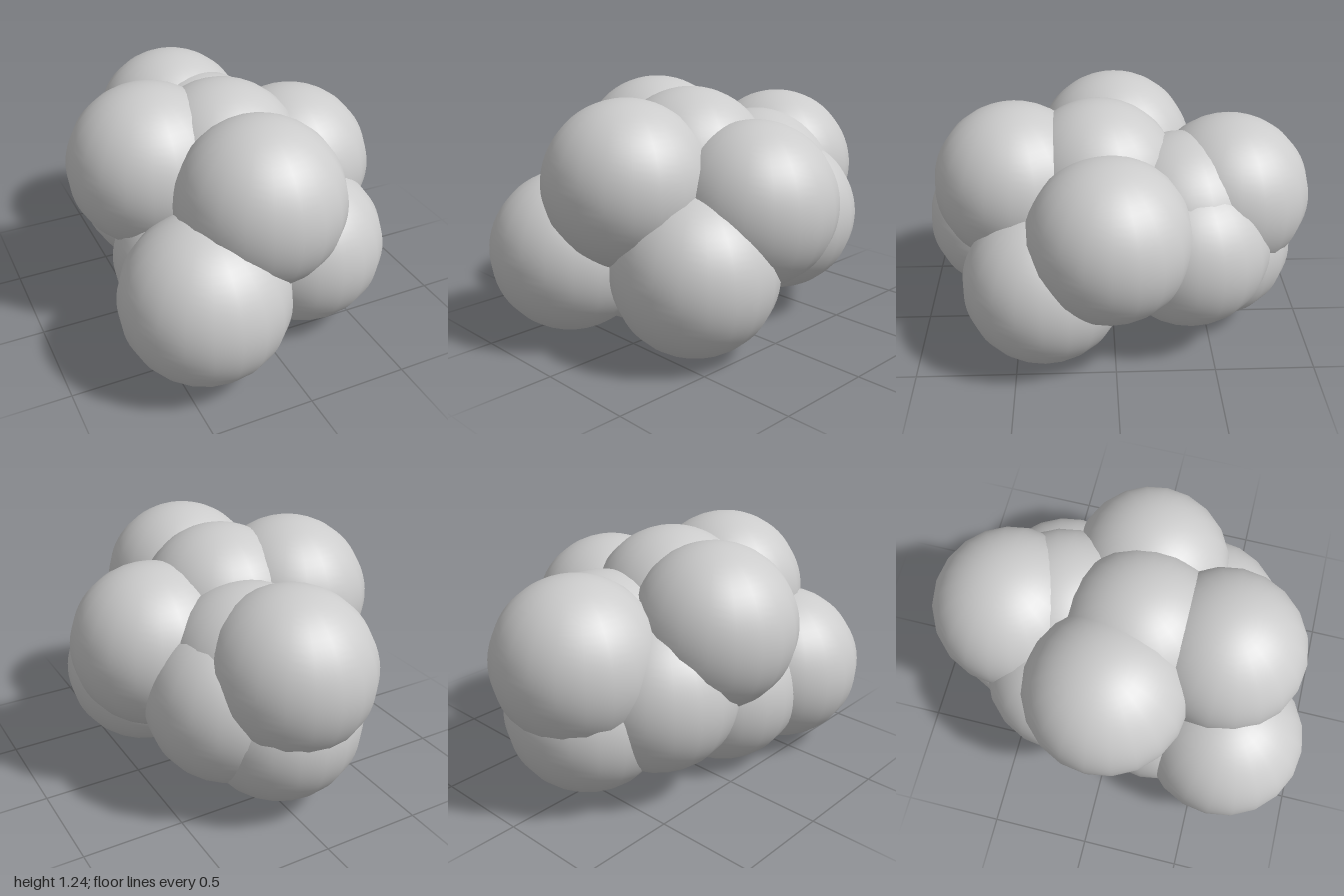
import * as THREE from 'three';

const RADIUS = 0.406;

// Centre of each ball in the cluster
const BALLS = {
  frontLowerRight: [-0.355, 0.435, 0.59],
  frontUpper: [-0.03, 0.815, 0.49],
  frontLowerLeft: [0.29, 0.417, 0.35],
  leftUpper: [0.375, 0.705, 0.03],
  rightUpper: [-0.377, 0.835, -0.02],
  centreUpper: [-0.03, 0.825, 0.07],
  backUpper: [-0.03, 0.735, -0.594],
  backInner: [0.05, 0.675, -0.35],
  backLeft: [0.175, 0.54, -0.38],
  backLower: [-0.02, 0.455, -0.52],
  backRight: [-0.245, 0.545, -0.27],
  lowerRight: [-0.247, 0.406, 0.22],
};

export function createModel() {
  const group = new THREE.Group();
  group.name = 'ballCluster';
  const material = new THREE.MeshStandardMaterial({ color: 0xcccccc });
  // Few meridians, many rings: slightly faceted when seen from above
  const geometry = new THREE.SphereGeometry(RADIUS, 20, 32);

  for (const [name, centre] of Object.entries(BALLS)) {
    const ball = new THREE.Mesh(geometry, material);
    ball.name = name + 'Ball';
    ball.position.set(...centre);
    group.add(ball);
  }
  return group;
}
